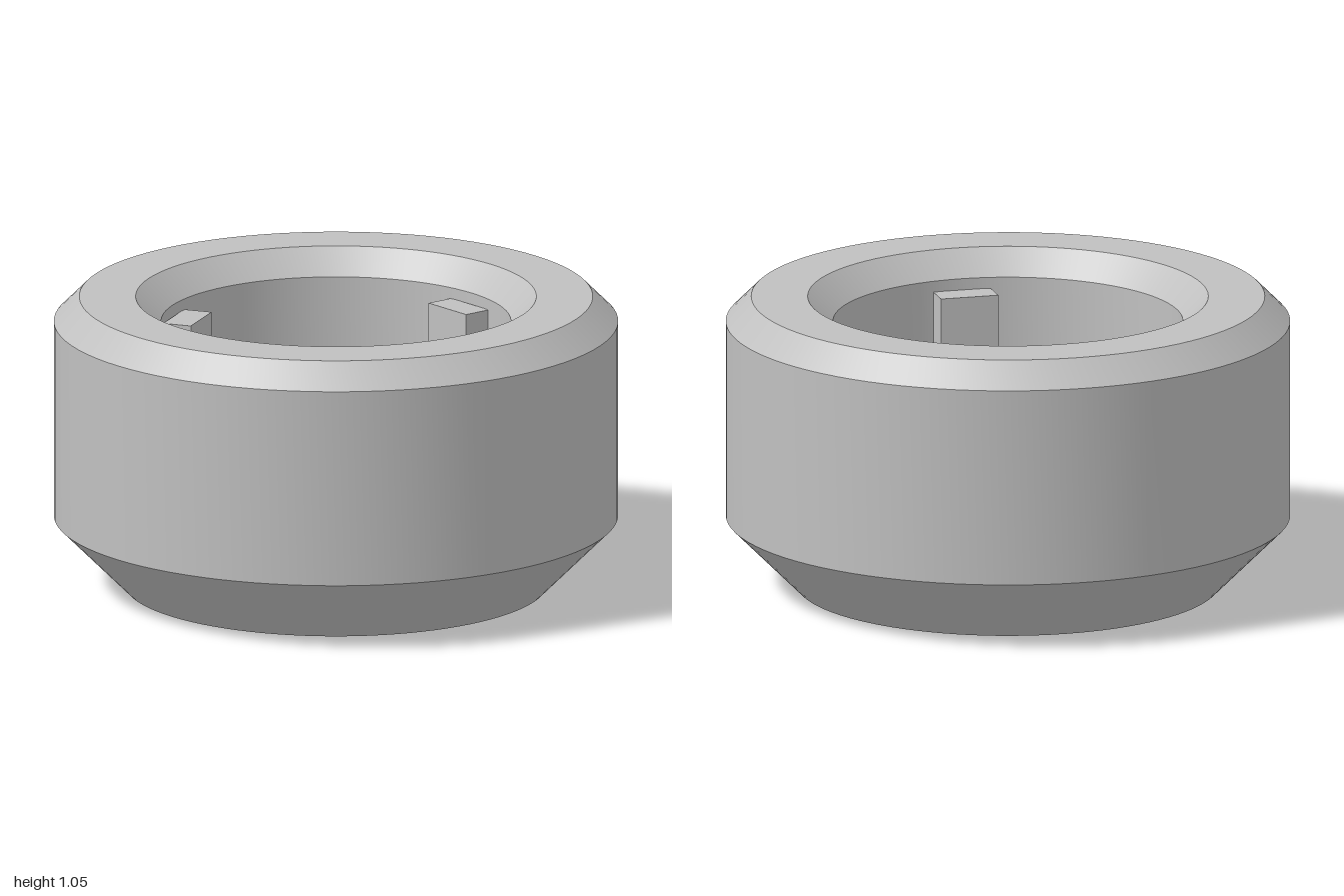
import * as THREE from 'three';
import { toCreasedNormals } from 'three/addons/utils/BufferGeometryUtils.js';

export function createModel() {
  const model = new THREE.Group();
  model.name = 'ribbedCup';
  const grey = new THREE.MeshStandardMaterial({ color: 0xc0c0c0 });
  grey.name = 'plainGrey';

  const floorY = 0.25, ribTop = 0.92;

  // Chamfered cup: up the outside, over the rim, down into the bore
  const profile = [
    [0, 0], [0.75, 0], [1, 0.25], [1, 0.96], [0.91, 1.05],
    [0.71, 1.05], [0.62, 0.96], [0.62, floorY], [0, floorY],
  ].map(([r, y]) => new THREE.Vector2(r, y));
  const cup = new THREE.Mesh(
    toCreasedNormals(new THREE.LatheGeometry(profile, 96), Math.PI / 6), grey);
  cup.name = 'cup';
  model.add(cup);

  // Three upright ribs spaced evenly around the bore wall
  const inner = 0.51, outer = 0.615;
  const ribShape = new THREE.BoxGeometry(outer - inner, ribTop - floorY, 0.21);
  ribShape.translate((inner + outer) / 2, (ribTop + floorY) / 2, 0);
  for (let i = 0; i < 3; i++) {
    const rib = new THREE.Mesh(ribShape, grey);
    rib.name = `innerRib${i + 1}`;
    rib.rotation.y = (i * Math.PI * 2) / 3;
    model.add(rib);
  }
  return model;
}
